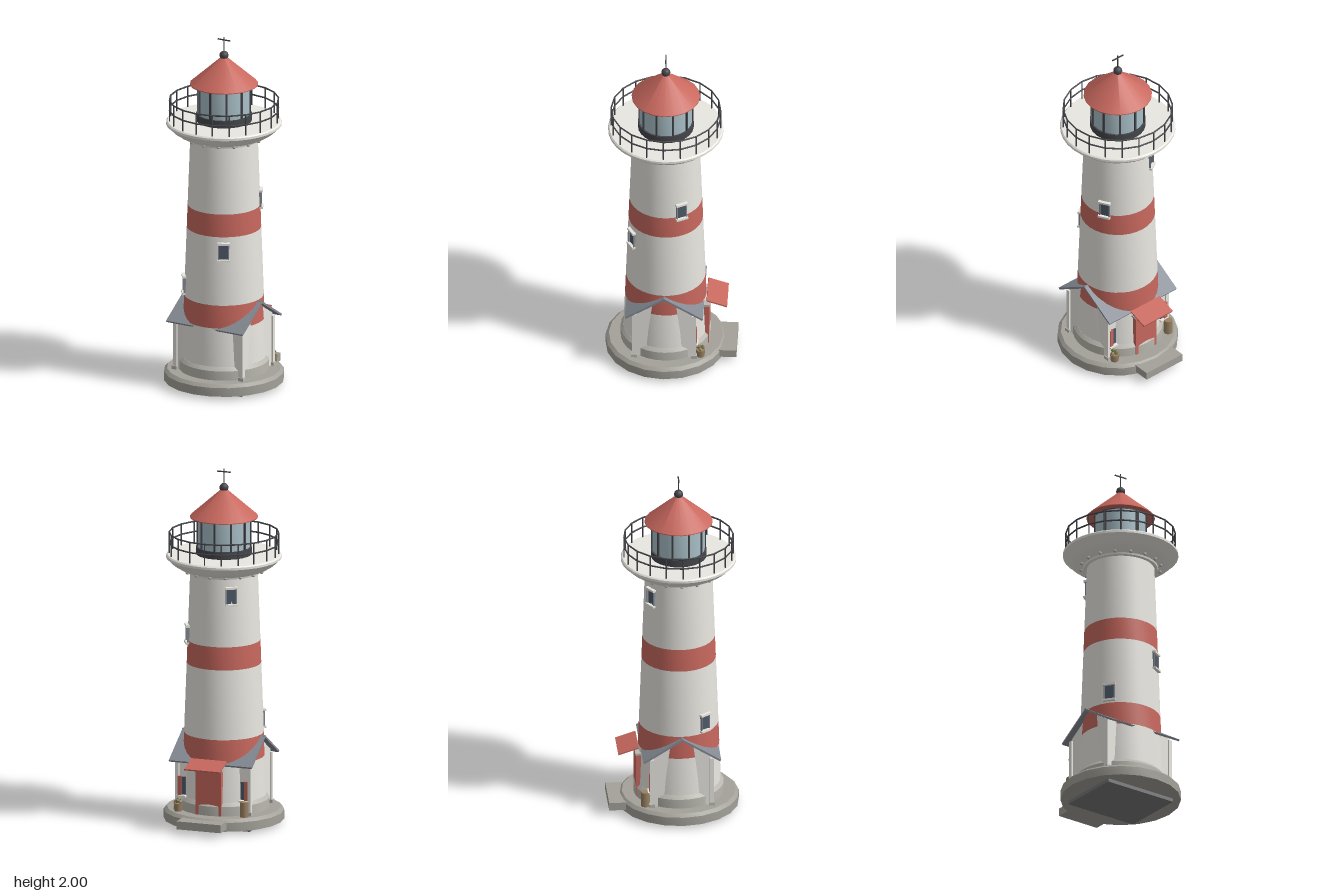
import * as THREE from 'three';
import { toCreasedNormals } from 'three/addons/utils/BufferGeometryUtils.js';

const mat = (color) => new THREE.MeshStandardMaterial({ color, side: THREE.DoubleSide });
const white = mat(0xe9e7e1), red = mat(0xc8685e), stone = mat(0xa3a199), plinthGrey = mat(0xbab8b0);
const slate = mat(0x858a93), iron = mat(0x45464b), glass = mat(0xa9c0c8), pane = mat(0x4d5a68);
const wood = mat(0x9a8262), under = mat(0x77777a), leaf = mat(0x6f7a4a);

export function createModel() {
  const model = new THREE.Group();
  model.name = 'lighthouse';
  model.position.z = 0.03;

  const add = (name, geo, material, x = 0, y = 0, z = 0, parent = model) => {
    const mesh = new THREE.Mesh(geo, material);
    mesh.name = name;
    mesh.position.set(x, y, z);
    parent.add(mesh);
    return mesh;
  };
  const box = (name, w, h, d, material, x, y, z, parent) =>
    add(name, new THREE.BoxGeometry(w, h, d), material, x, y, z, parent);
  // Turned part from [radius, height] pairs
  const lathe = (name, pts, material, sides = 32) =>
    add(name, toCreasedNormals(new THREE.LatheGeometry(pts.map(p => new THREE.Vector2(...p)), sides), 0.5), material);

  // Foundation, round base and entrance step
  box('foundation', 0.445, 0.03, 0.37, under, 0, 0.015, 0);
  lathe('base', [[0, 0.02], [0.333, 0.02], [0.333, 0.07], [0.315, 0.087], [0, 0.087]], stone, 20);
  box('entranceStep', 0.26, 0.045, 0.2, stone, 0, 0.055, -0.295);

  // Tapered tower with two red bands
  const radiusAt = (y) => 0.236 - (y - 0.085) * 0.0368;
  const levels = [0.085, 0.38, 0.512, 0.905, 1.035, 1.44];
  for (let i = 0; i < 5; i++) {
    const [a, b] = [levels[i], levels[i + 1]];
    lathe(i % 2 ? 'towerBand' : 'towerWall', [[radiusAt(a), a], [radiusAt(b), b]], i % 2 ? red : white);
  }
  lathe('towerPlinth', [[0.25, 0.085], [0.25, 0.14], [0.234, 0.16], [0.2, 0.16]], plinthGrey);

  // Tower windows: [angle from the front in degrees, height]
  for (const [deg, y] of [[30, 0.82], [-53, 0.575], [118, 1.07], [213, 1.32]]) {
    const win = new THREE.Group();
    win.name = 'window';
    const a = THREE.MathUtils.degToRad(deg), r = radiusAt(y);
    win.position.set(Math.sin(a) * r, y, Math.cos(a) * r);
    win.rotation.y = a;
    model.add(win);
    box('windowPane', 0.054, 0.09, 0.02, pane, 0, 0, -0.009, win);
    box('windowLintel', 0.07, 0.012, 0.03, white, 0, 0.048, 0, win);
    box('windowSill', 0.07, 0.012, 0.034, white, 0, -0.048, 0, win);
    for (const s of [-1, 1]) box('windowJamb', 0.006, 0.09, 0.026, slate, s * 0.028, 0, -0.004, win);
  }

  // Gabled house crossing the tower, ridge along x
  const gable = new THREE.Shape();
  gable.moveTo(-0.165, 0.085);
  for (const p of [[0.165, 0.085], [0.165, 0.39], [0, 0.493], [-0.165, 0.39]]) gable.lineTo(...p);
  const houseGeo = new THREE.ExtrudeGeometry(gable, { depth: 0.424, bevelEnabled: false });
  houseGeo.translate(0, 0, -0.212).rotateY(Math.PI / 2);
  add('house', houseGeo, white);
  for (const s of [-1, 1]) {
    const run = 0.213, rise = 0.132;
    const roof = box('houseRoof', 0.488, 0.011, Math.hypot(run, rise), slate, 0, 0.435, s * run / 2);
    roof.rotation.x = s * Math.atan2(rise, run);
    for (const t of [-1, 1]) {
      box('cornerPost', 0.022, 0.29, 0.022, white, s * 0.212, 0.23, t * 0.165);
      box('postFoot', 0.032, 0.02, 0.032, plinthGrey, s * 0.212, 0.096, t * 0.165);
    }
  }
  const ridge = add('roofRidge', new THREE.CylinderGeometry(0.008, 0.008, 0.49, 8), slate, 0, 0.501, 0);
  ridge.rotation.z = Math.PI / 2;

  // Back entrance with a sloping canopy
  box('door', 0.15, 0.255, 0.1, red, 0, 0.2125, -0.192);
  box('doorLintel', 0.165, 0.012, 0.1, plinthGrey, 0, 0.345, -0.196);
  const canopy = box('canopy', 0.21, 0.008, 0.118, red, 0, 0.379, -0.286);
  canopy.rotation.x = -Math.atan2(0.036, 0.11);

  // Shuttered back windows
  for (const s of [-1, 1]) {
    box('backWindow', 0.026, 0.1, 0.012, pane, s * 0.174, 0.225, -0.165);
    box('backShutter', 0.022, 0.11, 0.018, red, s * 0.196, 0.225, -0.17);
    box('backSill', 0.055, 0.01, 0.03, white, s * 0.185, 0.167, -0.172);
  }
  // Barrel and planter beside the entrance
  add('barrel', new THREE.CylinderGeometry(0.025, 0.025, 0.085, 8), wood, -0.195, 0.129, -0.2);
  add('planter', new THREE.CylinderGeometry(0.026, 0.022, 0.045, 8), wood, 0.195, 0.109, -0.2);
  for (let i = 0; i < 4; i++) {
    const a = i * Math.PI / 2;
    add('plant', new THREE.IcosahedronGeometry(0.012), i % 2 ? leaf : wood,
      0.195 + Math.cos(a) * 0.013, 0.138 + (i % 2) * 0.01, -0.2 + Math.sin(a) * 0.013);
  }

  // Flared gallery with studs underneath
  lathe('gallery', [[0.187, 1.418], [0.205, 1.42], [0.208, 1.43], [0.245, 1.443], [0.285, 1.468],
    [0.312, 1.495], [0.319, 1.5], [0.319, 1.513], [0.312, 1.52], [0, 1.52]], white);
  for (let i = 0; i < 16; i++) {
    const a = i * Math.PI / 8;
    add('galleryStud', new THREE.SphereGeometry(0.01, 10, 8), plinthGrey, Math.sin(a) * 0.222, 1.432, Math.cos(a) * 0.222);
  }

  // Gallery railing
  for (const y of [1.582, 1.64]) {
    const rail = add('rail', new THREE.TorusGeometry(0.302, 0.0045, 6, 20), iron, 0, y, 0);
    rail.rotation.x = Math.PI / 2;
  }
  for (let i = 0; i < 20; i++) {
    const a = i * Math.PI / 10;
    add('railPost', new THREE.CylinderGeometry(0.004, 0.004, 0.125, 6), iron, Math.sin(a) * 0.302, 1.577, Math.cos(a) * 0.302);
  }

  // Lantern room
  lathe('lanternBase', [[0.154, 1.52], [0.154, 1.562], [0.14, 1.562]], iron, 24);
  lathe('lanternGlass', [[0.145, 1.56], [0.145, 1.735]], glass, 24);
  lathe('lanternHead', [[0.15, 1.722], [0.15, 1.738]], iron, 24);
  for (let i = 0; i < 10; i++) {
    const a = i * Math.PI / 5;
    const bar = box('lanternBar', 0.01, 0.175, 0.01, iron, Math.sin(a) * 0.147, 1.647, Math.cos(a) * 0.147);
    bar.rotation.y = a;
  }

  // Conical roof, ball and cross-shaped vane
  lathe('lanternRoof', [[0, 1.728], [0.189, 1.728], [0.189, 1.733], [0.016, 1.885], [0, 1.885]], red, 20);
  add('finialBall', new THREE.SphereGeometry(0.025, 16, 12), iron, 0, 1.895, 0);
  add('mast', new THREE.CylinderGeometry(0.003, 0.003, 0.1, 6), iron, 0, 1.95, 0);
  box('vane', 0.078, 0.006, 0.006, iron, 0, 1.984, 0);

  const root = new THREE.Group();
  root.add(model);
  return root;
}
